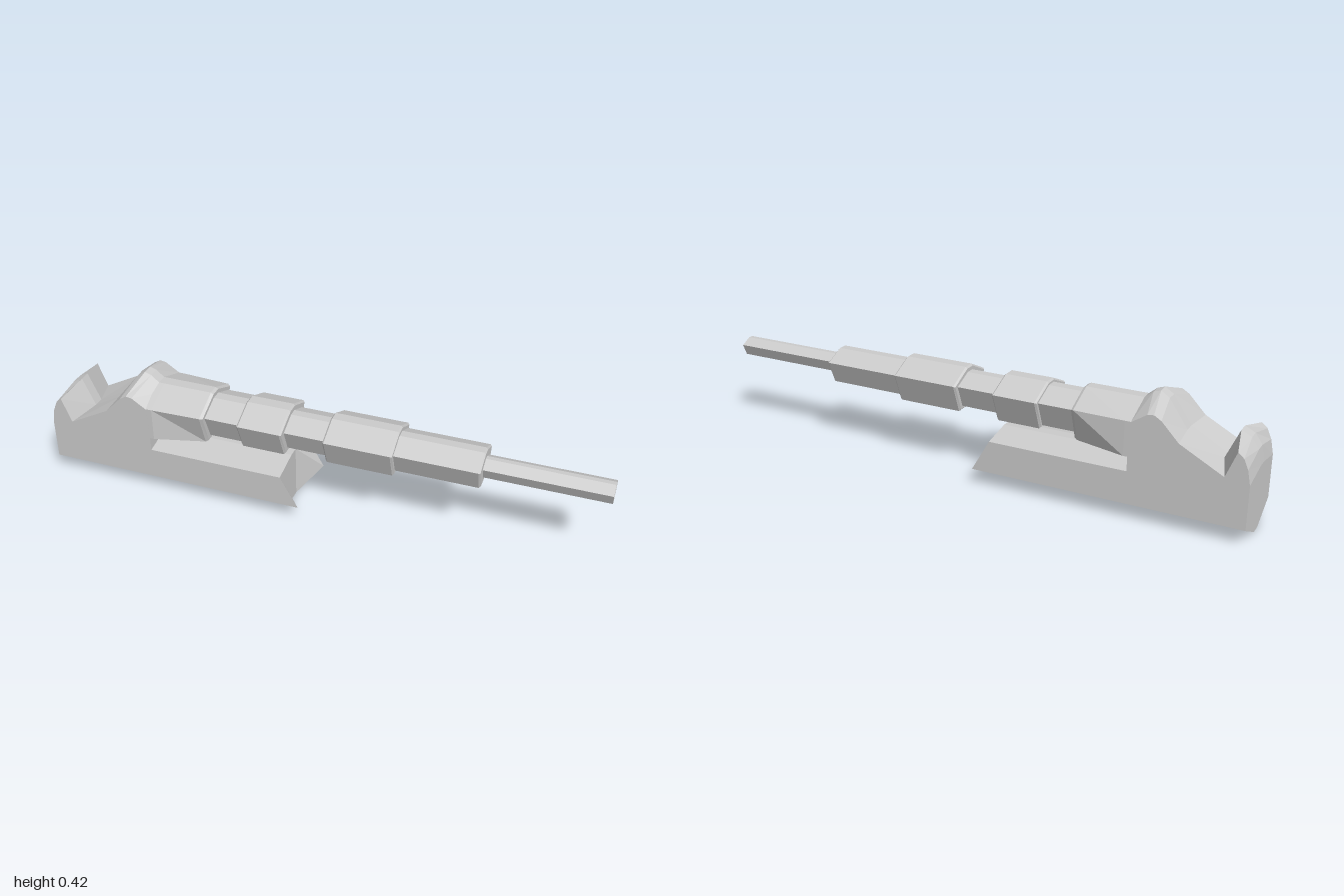
import * as THREE from 'three';

const material = new THREE.MeshStandardMaterial({ color: 0xcccccc, flatShading: true });

// Skins counter-clockwise XY rings placed along z and closes both ends.
function loft(rings) {
  const pos = [];
  const put = (ring, i) => pos.push(ring.pts[i][0], ring.pts[i][1], ring.z);
  for (let r = 0; r < rings.length - 1; r++) {
    const a = rings[r], b = rings[r + 1], n = a.pts.length;
    for (let i = 0; i < n; i++) {
      const j = (i + 1) % n;
      put(a, i); put(a, j); put(b, j);
      put(a, i); put(b, j); put(b, i);
    }
  }
  const cap = (ring, flip) => {
    const flat = ring.pts.map(([x, y]) => new THREE.Vector2(x, y));
    for (const [a, b, c] of THREE.ShapeUtils.triangulateShape(flat, [])) {
      for (const i of flip ? [a, c, b] : [a, b, c]) put(ring, i);
    }
  };
  cap(rings[0], true);
  cap(rings[rings.length - 1], false);
  const geo = new THREE.BufferGeometry();
  geo.setAttribute('position', new THREE.Float32BufferAttribute(pos, 3));
  geo.computeVertexNormals();
  return geo;
}

// Barrel cross-section: flat-topped pentagon, wide at the shoulder.
function section(x, w, top, shoulder, bottom, base = w * 0.63, crown = w * 0.18) {
  return {
    z: x,
    pts: [[-base, bottom], [base, bottom], [w, shoulder], [crown, top], [-crown, top], [-w, shoulder]],
  };
}

export function createModel() {
  const group = new THREE.Group();
  const add = (name, geo) => {
    const mesh = new THREE.Mesh(geo, material);
    mesh.name = name;
    group.add(mesh);
  };

  // Hull: outer side profile and centre ridge profile, point for point [xSide, ySide, xMid, yMid]
  const profile = [
    [-1, 0.057, -1, 0], [-1, 0.21, -1, 0.23], [-0.99, 0.26, -0.99, 0.285],
    [-0.975, 0.295, -0.965, 0.32], [-0.955, 0.312, -0.93, 0.338],
    [-0.92, 0.222, -0.885, 0.235], [-0.77, 0.302, -0.76, 0.305],
    [-0.71, 0.365, -0.695, 0.4], [-0.685, 0.38, -0.665, 0.42],
    [-0.663, 0.377, -0.64, 0.412], [-0.61, 0.342, -0.578, 0.36],
    [-0.605, 0.222, -0.605, 0.222], [-0.605, 0.172, -0.605, 0.193],
    [-0.11, 0.172, -0.11, 0.193], [-0.045, 0.057, -0.11, 0],
  ].reverse();
  const side = profile.map(([x, y]) => [x, y]);
  const mid = profile.map(([, , x, y]) => [x, y]);
  add('hull', loft([
    { z: -0.134, pts: side }, { z: -0.02, pts: mid },
    { z: 0.02, pts: mid }, { z: 0.134, pts: side },
  ]));

  // Barrel root: blends the square hull shoulder into the barrel section
  add('barrelRoot', loft([
    section(-0.63, 0.133, 0.388, 0.343, 0.222, 0.133, 0.02),
    section(-0.59, 0.133, 0.388, 0.343, 0.222, 0.133, 0.02),
    section(-0.41, 0.125, 0.388, 0.341, 0.222, 0.085, 0.02),
    section(-0.4, 0.118, 0.382, 0.337, 0.228, 0.08, 0.02),
  ]).rotateY(Math.PI / 2));

  // Stepped sleeves with bevelled ends: [name, x0, x1, half width, top, shoulder, bottom]
  const sleeves = [
    ['rearCollar', -0.42, -0.26, 0.102, 0.368, 0.331, 0.24],
    ['rearSleeve', -0.275, -0.11, 0.12, 0.381, 0.337, 0.231],
    ['barrelNeck', -0.13, 0.05, 0.088, 0.36, 0.328, 0.248],
    ['middleSleeve', 0.035, 0.28, 0.11, 0.379, 0.335, 0.232],
    ['frontSleeve', 0.26, 0.575, 0.09, 0.362, 0.327, 0.246],
  ];
  const bevel = 0.006;
  for (const [name, x0, x1, w, top, shoulder, bottom] of sleeves) {
    const inset = (x) => section(x, w - bevel, top - bevel, shoulder - bevel / 2, bottom + bevel);
    const full = (x) => section(x, w, top, shoulder, bottom);
    add(name, loft([inset(x0), full(x0 + bevel), full(x1 - bevel), inset(x1)]).rotateY(Math.PI / 2));
  }

  // Muzzle tube with a blind bore
  add('muzzle', loft([
    section(0.55, 0.048, 0.334, 0.314, 0.273),
    section(1, 0.048, 0.334, 0.314, 0.273),
    section(1, 0.039, 0.327, 0.311, 0.279),
    section(0.93, 0.039, 0.327, 0.311, 0.279),
  ]).rotateY(Math.PI / 2));

  return group;
}
